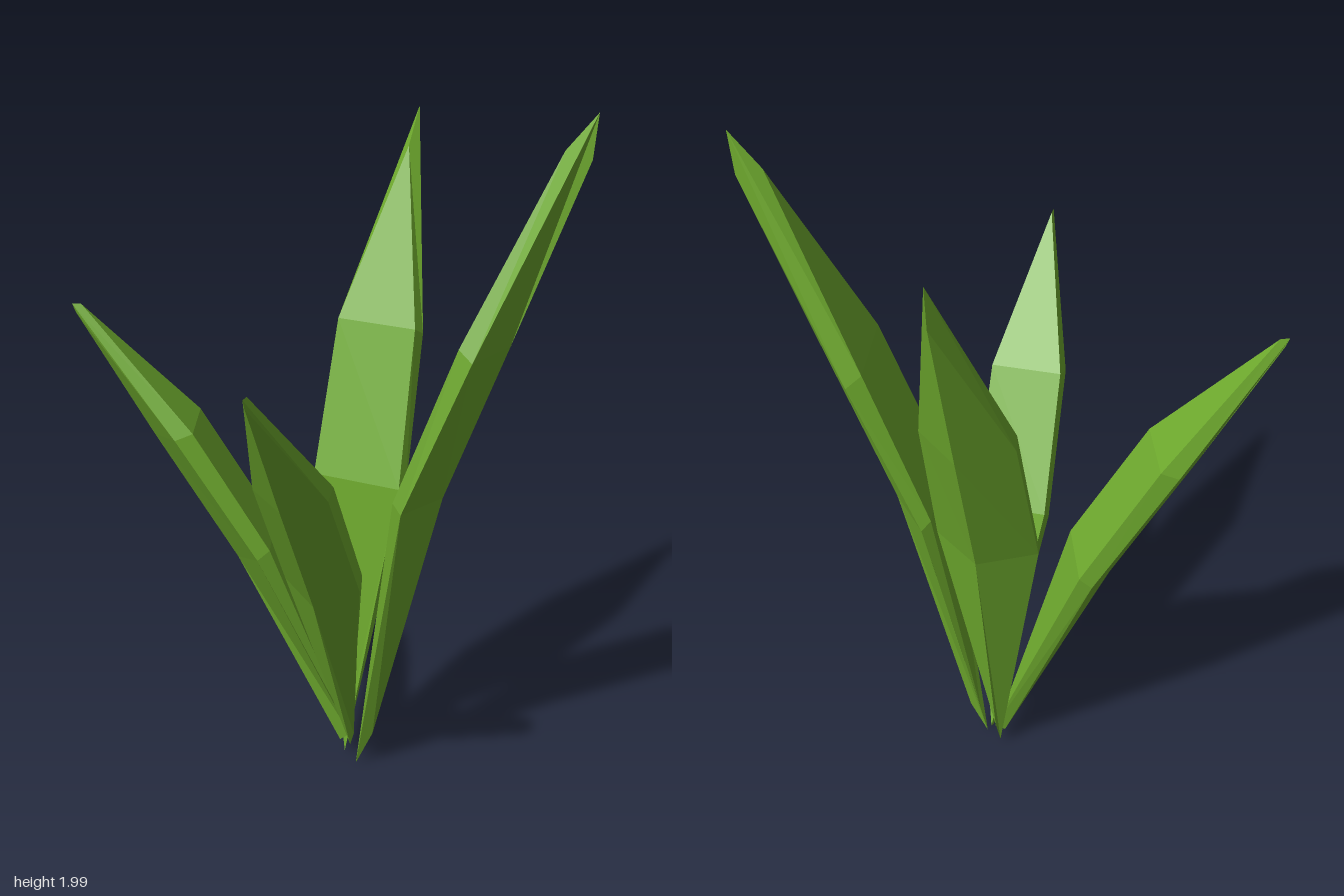
import * as THREE from 'three';

// Blade stations from base to tip. Each gives the inner face edge and the rim
// as [outward, height, half width], and the outer keel as [outward, height].
const shortBlade = [
  { inner: [0.02, 0.13, 0], rim: [0.0, 0.08, 0], keel: [0.03, 0.06] },
  { inner: [0.23, 0.74, 0.105], rim: [0.265, 0.71, 0.11], keel: [0.33, 0.67] },
  { inner: [0.44, 1.09, 0.1], rim: [0.49, 1.07, 0.105], keel: [0.56, 1.05] },
  { inner: [0.75, 1.43, 0], rim: [0.775, 1.43, 0], keel: [0.765, 1.405] },
];
const backBlade = [
  { inner: [0.01, 0.1, 0], rim: [0, 0.02, 0], keel: [0.04, 0.12] },
  { inner: [0.06, 0.89, 0.135], rim: [0.085, 0.87, 0.145], keel: [0.18, 0.87] },
  { inner: [0.185, 1.33, 0.12], rim: [0.22, 1.31, 0.13], keel: [0.31, 1.3] },
  { inner: [0.39, 1.8, 0], rim: [0.46, 1.9, 0], keel: [0.45, 1.78] },
];
const tallBlade = [
  { inner: [0.02, 0.1, 0], rim: [0.0, 0.01, 0], keel: [0.05, 0.12] },
  { inner: [0.125, 0.94, 0.135], rim: [0.15, 0.91, 0.145], keel: [0.24, 0.91] },
  { inner: [0.29, 1.39, 0.12], rim: [0.33, 1.36, 0.14], keel: [0.41, 1.37] },
  { inner: [0.525, 1.9, 0], rim: [0.605, 2.0, 0], keel: [0.595, 1.88] },
];

// Skin the five-sided cross-sections; the ends close to a line
function bladeGeometry(stations) {
  const rings = stations.map(({ inner, rim, keel }) => [
    [inner[2], inner[1], inner[0]],
    [rim[2], rim[1], rim[0]],
    [0, keel[1], keel[0]],
    [-rim[2], rim[1], rim[0]],
    [-inner[2], inner[1], inner[0]],
  ]);
  const positions = [];
  for (let j = 0; j < rings.length - 1; j++) {
    for (let i = 0; i < 5; i++) {
      const k = (i + 1) % 5;
      const a = rings[j][i], b = rings[j][k], c = rings[j + 1][k], d = rings[j + 1][i];
      // At the base the quads narrow to triangles
      positions.push(...a, ...d, ...c, ...a, ...c, ...b);
    }
  }
  const geometry = new THREE.BufferGeometry();
  geometry.setAttribute('position', new THREE.Float32BufferAttribute(positions, 3));
  geometry.computeVertexNormals();
  return geometry;
}

export function createModel() {
  const plant = new THREE.Group();
  plant.name = 'plant';
  const leafGreen = new THREE.MeshStandardMaterial({ color: 0x6fab2e, flatShading: true });
  leafGreen.name = 'leafGreen';

  // Name, blade, base x and z, heading in degrees (0 is to the front)
  const leaves = [
    ['frontLeaf', shortBlade, 0.06, -0.16, 1],
    ['leftLeaf', tallBlade, 0.085, -0.115, 98.5],
    ['backLeaf', backBlade, 0.035, -0.15, 176],
    ['rightLeaf', shortBlade, 0.05, -0.155, -70],
  ];
  for (const [name, blade, x, z, heading] of leaves) {
    const leaf = new THREE.Mesh(bladeGeometry(blade), leafGreen);
    leaf.name = name;
    leaf.position.set(x, 0, z);
    leaf.rotation.y = THREE.MathUtils.degToRad(heading);
    plant.add(leaf);
  }
  return plant;
}
